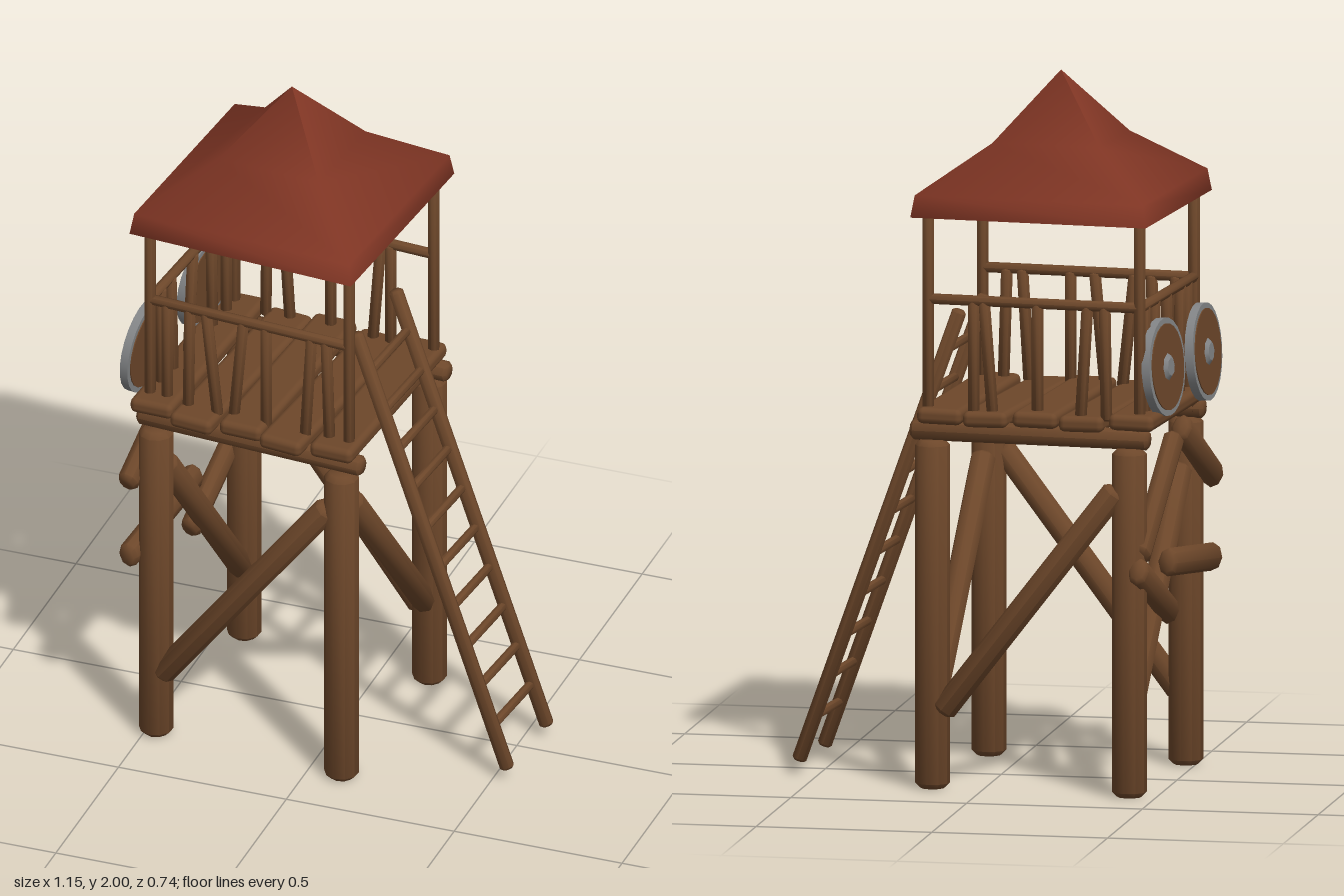
import * as THREE from 'three';
import { toCreasedNormals } from 'three/addons/utils/BufferGeometryUtils.js';
import { RoundedBoxGeometry } from 'three/addons/geometries/RoundedBoxGeometry.js';

const material = (name, color, side = THREE.FrontSide) => {
  const m = new THREE.MeshStandardMaterial({ color, side });
  m.name = name;
  return m;
};

export function createModel() {
  const wood = material('wood', 0x6d472a);
  const roofRed = material('roof red', 0x7d3423, THREE.DoubleSide);
  const iron = material('iron', 0x838587);

  const model = new THREE.Group();
  model.name = 'watchtower';
  // The whole tower stands slightly turned and off centre
  const tower = new THREE.Group();
  tower.name = 'tower';
  tower.position.x = -0.17;
  tower.rotation.y = -0.08;
  model.add(tower);

  const add = (name, geometry, mat, parent = tower) => {
    const mesh = new THREE.Mesh(geometry, mat);
    mesh.name = name;
    parent.add(mesh);
    return mesh;
  };

  // Round timber with chamfered ends, running from a to b
  const up = new THREE.Vector3(0, 1, 0);
  const log = (name, a, b, r, sides = 8) => {
    const start = new THREE.Vector3(...a);
    const dir = new THREE.Vector3(...b).sub(start);
    const len = dir.length();
    const c = r * 0.3;
    const profile = [[0, 0], [r - c, 0], [r, c], [r, len - c], [r - c, len], [0, len]]
      .map(([x, y]) => new THREE.Vector2(x, y));
    const geo = toCreasedNormals(new THREE.LatheGeometry(profile, sides), 0.9);
    const mesh = add(name, geo, wood);
    mesh.position.copy(start);
    mesh.quaternion.setFromUnitVectors(up, dir.normalize());
    return mesh;
  };

  // Legs and roof posts at the four corners
  for (const x of [-0.277, 0.294]) {
    for (const z of [-0.279, 0.301]) log('leg', [x, 0, z], [x, 0.985, z], 0.049, 10);
  }
  for (const x of [-0.307, 0.306]) {
    for (const z of [-0.279, 0.278]) log('roofPost', [x, 1.0, z], [x, 1.67, z], 0.017);
  }

  // Diagonal braces, one on each side
  log('frontBrace', [-0.255, 0.2, 0.315], [0.26, 0.87, 0.315], 0.036);
  log('backBrace', [0.26, 0.22, -0.3], [-0.245, 0.87, -0.3], 0.036);
  log('rightBrace', [0.29, 0.86, 0.235], [0.29, 0.26, -0.26], 0.036);
  log('leftBrace', [-0.275, 0.23, -0.26], [-0.275, 0.85, 0.25], 0.036);

  // Flattened patch timbers nailed across the left side
  const patches = [
    [[-0.31, 0.68, -0.29], [-0.32, 0.97, 0.03]],
    [[-0.338, 1.0, 0.03], [-0.345, 0.81, 0.35]],
    [[-0.325, 0.63, -0.06], [-0.34, 0.58, 0.36]],
    [[-0.315, 0.65, -0.33], [-0.315, 0.48, 0.0]],
  ];
  for (const [a, b] of patches) log('patchTimber', a, b, 0.04).scale.x = 0.75;

  // Platform: two beams carrying five uneven planks
  for (const z of [-0.279, 0.289]) log('platformBeam', [-0.335, 1.012, z], [0.355, 1.012, z], 0.03);
  const planks = [[-0.285, 1.062, 0.02], [-0.147, 1.05, -0.015], [-0.008, 1.058, 0.012],
    [0.13, 1.05, -0.02], [0.27, 1.056, 0.015]];
  planks.forEach(([x, y, turn], i) => {
    const plank = add('plank', new RoundedBoxGeometry(0.13, 0.046, 0.665, 2, 0.018), wood);
    plank.position.set(x, y, i % 2 ? 0.02 : 0.008);
    plank.rotation.set(0, turn, turn);
  });

  // Railings on the front, back and left; the ladder side is open
  const railY = 1.383;
  log('frontRail', [-0.31, railY, 0.278], [0.31, railY, 0.278], 0.015);
  log('backRail', [-0.31, railY, -0.279], [0.31, railY, -0.279], 0.015);
  log('leftRail', [-0.307, railY, -0.285], [-0.307, railY, 0.285], 0.015);

  // Balusters: position at the floor and lean towards the rail
  const front = [[-0.255, 0], [-0.19, 0.005], [-0.1, -0.035], [-0.05, 0.03], [0.05, 0], [0.17, 0.02], [0.245, -0.01]];
  const back = [[0.175, 0], [0.12, 0.025], [-0.01, 0], [-0.135, -0.02], [-0.21, 0.005]];
  const left = [[-0.22, 0], [-0.13, 0.01], [0.03, -0.03], [0.13, 0.015], [0.21, 0]];
  for (const [x, lean] of front) log('frontBaluster', [x, 1.06, 0.276], [x + lean, railY, 0.276], 0.017);
  for (const [x, lean] of back) log('backBaluster', [x, 1.06, -0.277], [x + lean, railY, -0.277], 0.017);
  for (const [z, lean] of left) log('leftBaluster', [-0.305, 1.06, z], [-0.305, railY, z + lean], 0.017);

  // Ladder leaning on the open side
  const foot = [0.722, 0.035], head = [0.255, 1.33];
  const ladderX = (y) => foot[0] + (head[0] - foot[0]) * (y - foot[1]) / (head[1] - foot[1]);
  for (const z of [-0.137, 0.123]) log('ladderRail', [...foot, z], [...head, z], 0.021);
  for (let i = 0; i < 10; i++) {
    const y = 0.162 + i * 0.117;
    log('ladderRung', [ladderX(y), y, -0.14], [ladderX(y), y, 0.126], 0.013);
  }

  // Round shields hung on the left railing, the rear one turned a little
  for (const [x, y, z, turn] of [[-0.342, 1.2, -0.16, -0.09], [-0.355, 1.185, 0.205, -0.02]]) {
    const shield = new THREE.Group();
    shield.name = 'shield';
    shield.position.set(x, y, z);
    shield.rotation.set(0, turn, Math.PI / 2 - 0.07, 'YXZ');
    tower.add(shield);
    add('shieldRim', new THREE.CylinderGeometry(0.138, 0.138, 0.024, 24), iron, shield);
    add('shieldFace', new THREE.CylinderGeometry(0.122, 0.122, 0.03, 24), wood, shield);
    const boss = add('shieldBoss', new THREE.CylinderGeometry(0.026, 0.04, 0.01, 8), iron, shield);
    boss.position.y = 0.019;
  }

  // Flared four-sided roof with a short lip at the eaves
  const roofProfile = [[0.341, 1.62], [0.331, 1.682], [0.155, 1.81], [0.0001, 2.0]]
    .map(([half, y]) => new THREE.Vector2(half * Math.SQRT2, y));
  add('roof', new THREE.LatheGeometry(roofProfile, 4, Math.PI / 4), roofRed);

  return model;
}
